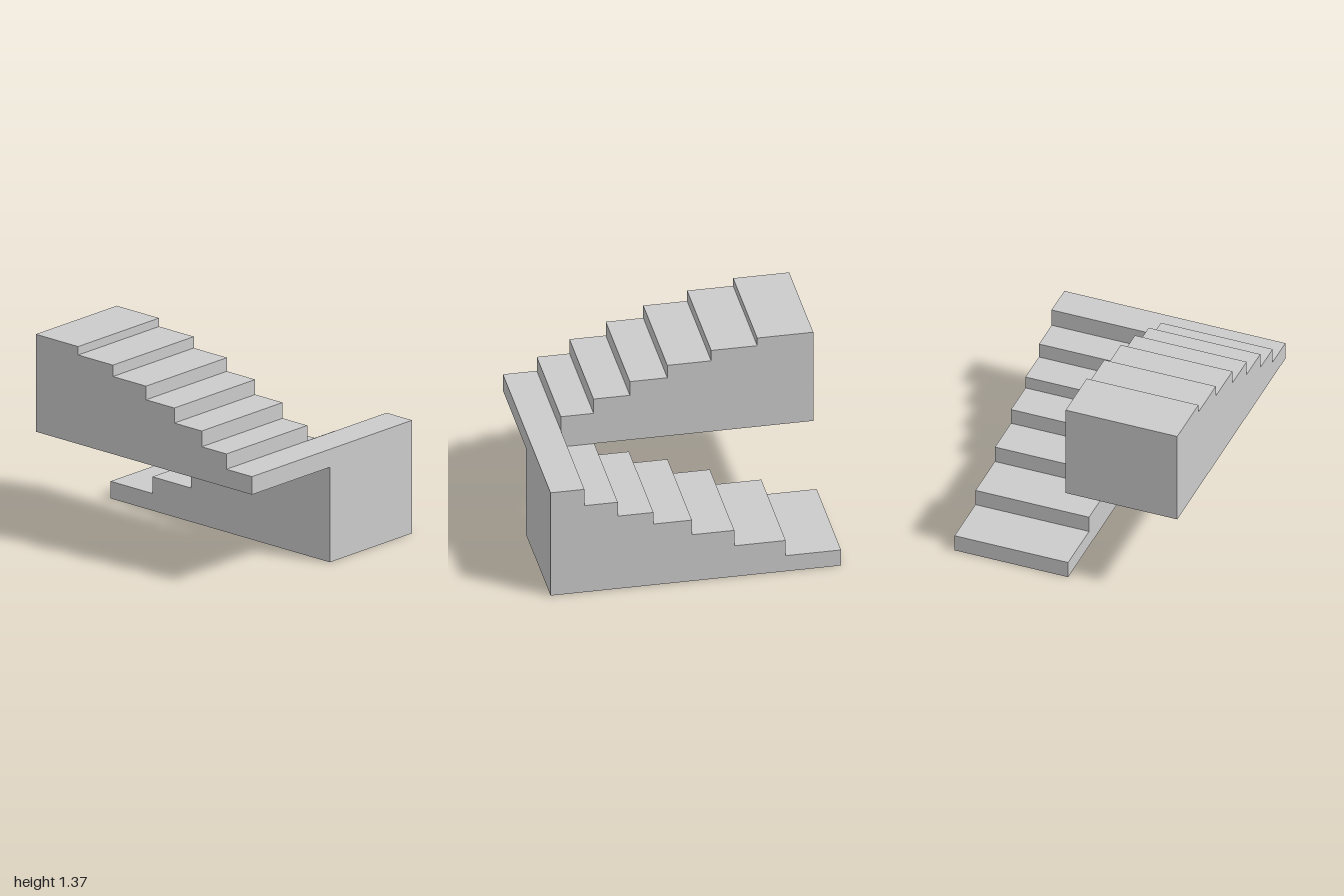
import * as THREE from 'three';

const material = new THREE.MeshStandardMaterial({ color: 0xcccccc, flatShading: true });

// Solid flight of steps: the stepped side outline (z, y) extruded from x0 to x1.
// Each step is [z where it starts, tread height]; the last one runs to zEnd.
function flight(name, steps, zEnd, bottom, x0, x1) {
  const shape = new THREE.Shape();
  shape.moveTo(steps[0][0], bottom);
  steps.forEach(([z, y], i) => {
    const next = i + 1 < steps.length ? steps[i + 1][0] : zEnd;
    shape.lineTo(z, y);
    shape.lineTo(next, y);
  });
  shape.lineTo(zEnd, bottom);
  const geometry = new THREE.ExtrudeGeometry(shape, { depth: x1 - x0, bevelEnabled: false });
  geometry.rotateY(-Math.PI / 2).translate(x1, 0, 0);
  const mesh = new THREE.Mesh(geometry, material);
  mesh.name = name;
  return mesh;
}

export function createModel() {
  const group = new THREE.Group();
  group.name = 'staircase';

  const left = 0.803, right = -0.803;
  const slabBottom = 0.677, slabTop = 0.805, landingBack = 0.767;

  // Lower flight climbs from the back to the front; its last tread carries the landing
  group.add(flight('lowerFlight', [
    [-1, 0.122], [-0.619, 0.241], [-0.265, 0.362], [0.027, 0.477],
    [0.292, 0.568], [0.537, slabBottom],
  ], 1, 0, -0.022, left));

  // Landing slab across the full width at the front
  const landing = new THREE.Mesh(
    new THREE.BoxGeometry(left - right, slabTop - slabBottom, 1 - landingBack), material);
  landing.name = 'landing';
  landing.position.set(0, (slabTop + slabBottom) / 2, (1 + landingBack) / 2);
  group.add(landing);

  // Upper flight turns round and climbs from the landing to the back
  group.add(flight('upperFlight', [
    [landingBack, 0.914], [0.542, 1.026], [0.292, 1.133], [0.034, 1.23],
    [-0.268, 1.311], [-0.585, 1.371],
  ], -0.971, slabBottom, right, 0.008));

  return group;
}
